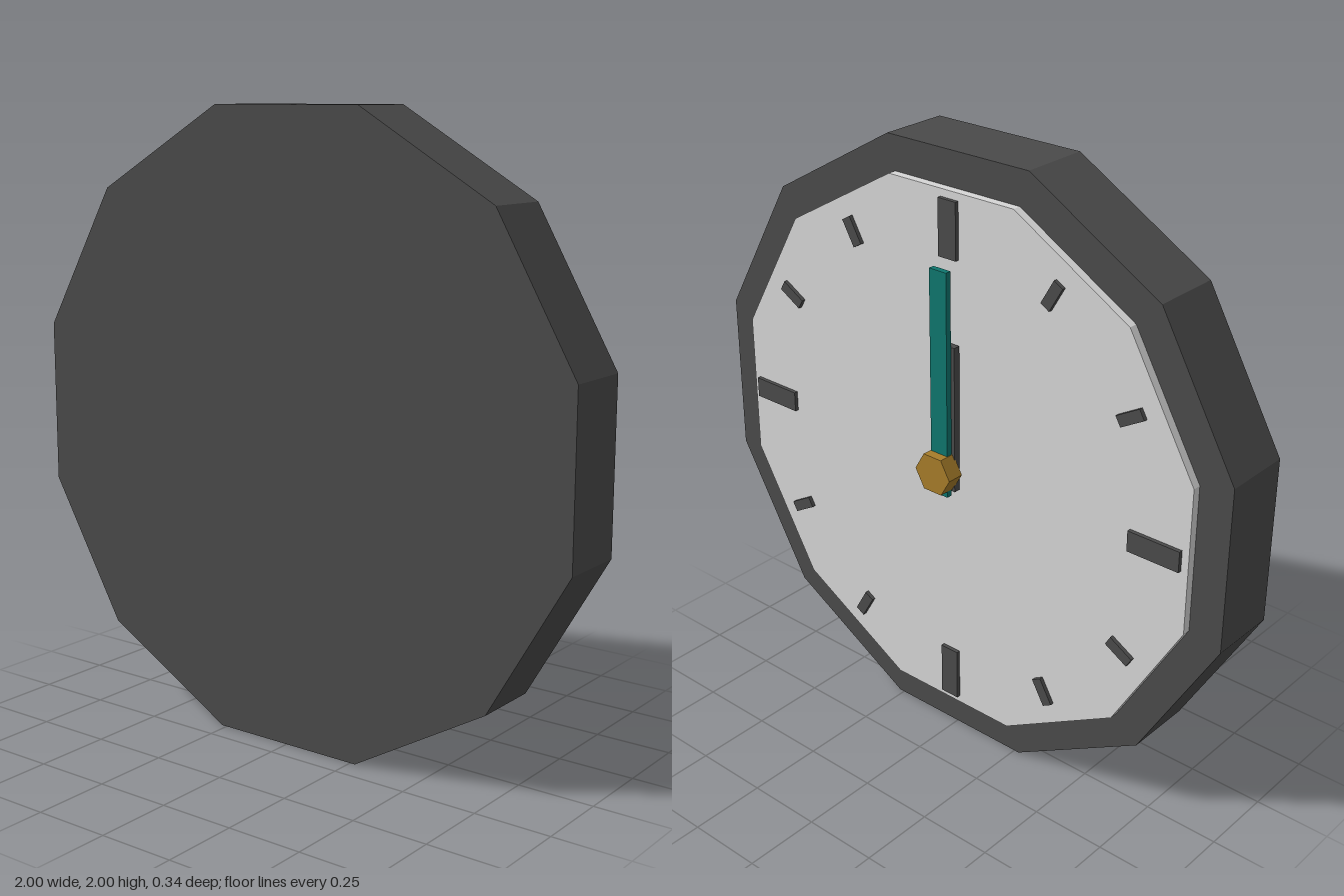
import * as THREE from 'three';

const material = (name, color) => {
  const m = new THREE.MeshStandardMaterial({ color, flatShading: true });
  m.name = name;
  return m;
};

export function createModel() {
  const charcoal = material('charcoal', 0x4a4a4a);
  const paleGrey = material('pale grey', 0xd6d6d6);
  const teal = material('teal', 0x0f766e);
  const brass = material('brass', 0xa67c2a);

  const clock = new THREE.Group();
  clock.name = 'wallClock';

  // The dial looks towards -z; its centre is the pivot at y = 1
  const dial = new THREE.Group();
  dial.name = 'clockAssembly';
  dial.position.y = 1;
  clock.add(dial);

  const add = (name, geometry, mat, parent = dial) => {
    const mesh = new THREE.Mesh(geometry, mat);
    mesh.name = name;
    parent.add(mesh);
    return mesh;
  };

  // Upright prism along z, between two depths
  const prism = (name, radius, sides, turn, z0, z1, mat) => {
    const g = new THREE.CylinderGeometry(radius, radius, z1 - z0, sides);
    g.rotateY(turn).rotateX(Math.PI / 2).translate(0, 0, (z0 + z1) / 2);
    return add(name, g, mat);
  };

  // Flat bar spanning y0..y1 and z0..z1
  const bar = (width, y0, y1, z0, z1) =>
    new THREE.BoxGeometry(width, y1 - y0, z1 - z0)
      .translate(0, (y0 + y1) / 2, (z0 + z1) / 2);

  // Twelve-sided case and face plate, flats at top, bottom and sides
  const apothem = Math.cos(Math.PI / 12);
  prism('case', 1 / apothem, 12, Math.PI / 12, -0.058, 0.172, charcoal);
  prism('facePlate', 0.89 / apothem, 12, Math.PI / 12, -0.086, -0.058, paleGrey);

  // Hour marks, long ones at the quarters
  const marks = new THREE.Group();
  marks.name = 'hourMarks';
  dial.add(marks);
  const longMark = bar(0.068, 0.686, 0.866, -0.099, -0.08);
  const shortMark = bar(0.036, 0.733, 0.825, -0.099, -0.08);
  for (let i = 0; i < 12; i++) {
    const quarter = i % 3 === 0;
    const mark = add(quarter ? 'quarterMark' : 'hourMark', quarter ? longMark : shortMark, charcoal, marks);
    mark.rotation.z = (i * Math.PI) / 6;
  }

  // Hands and hexagonal centre cap
  add('hourHand', bar(0.09, -0.068, 0.42, -0.119, -0.096), charcoal);
  add('minuteHand', bar(0.066, -0.083, 0.662, -0.14, -0.12), teal);
  prism('centreCap', 0.07, 6, Math.PI / 6, -0.172, -0.114, brass);

  return clock;
}
